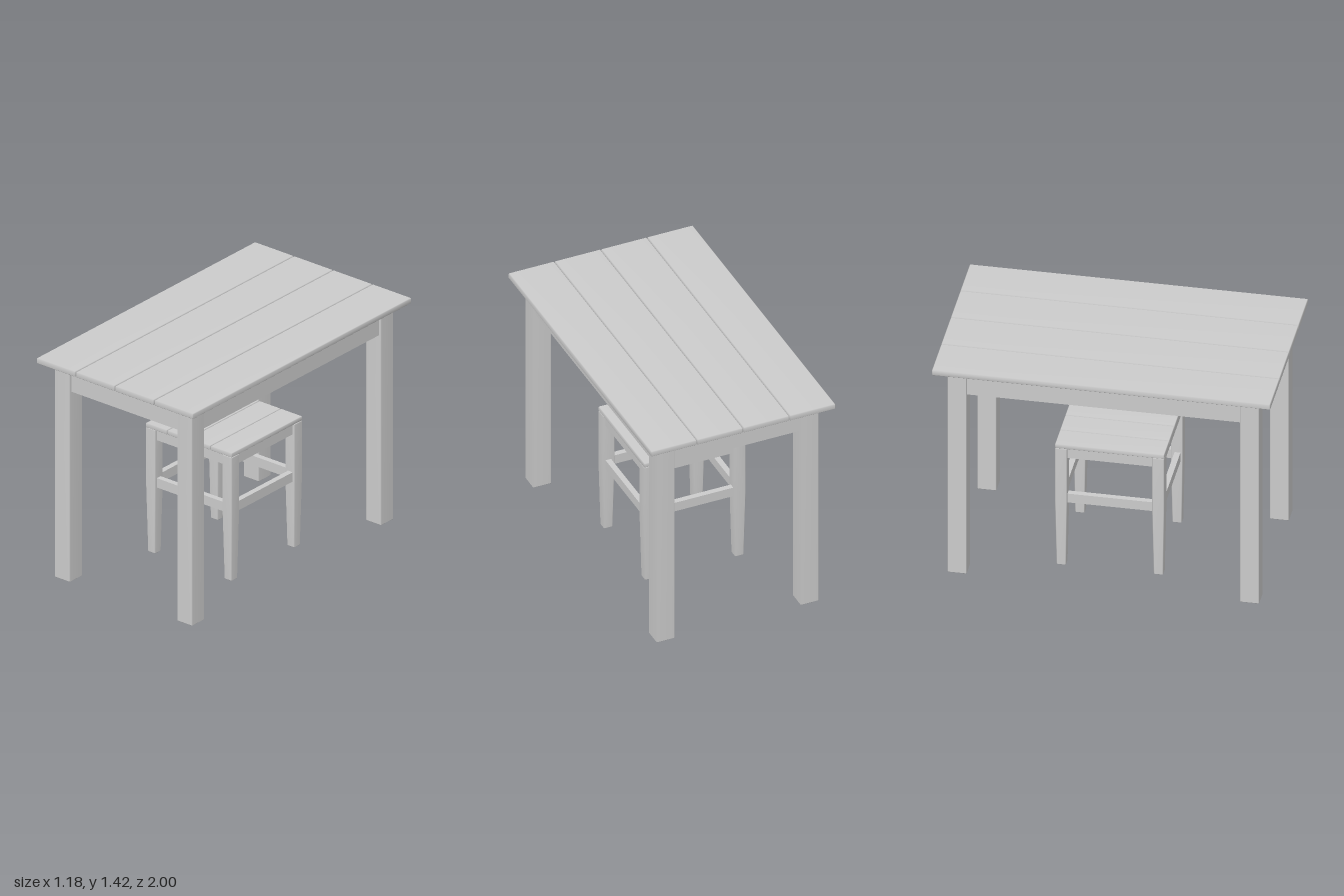
import * as THREE from 'three';
import { mergeVertices } from 'three/addons/utils/BufferGeometryUtils.js';
import { ConvexGeometry } from 'three/addons/geometries/ConvexGeometry.js';

const material = new THREE.MeshStandardMaterial({ color: 0xcccccc });

// Square-cut timber with small chamfers and softened normals.
// Levels are [y, halfWidth, halfDepth] from bottom to top.
function timber(levels, bevel) {
  const points = [];
  levels.forEach(([y, w, d], i) => {
    const inward = i === 0 ? 1 : i === levels.length - 1 ? -1 : 0;
    for (const sx of [-1, 1]) for (const sz of [-1, 1]) {
      const add = (x, py, z) => points.push(new THREE.Vector3(sx * x, py, sz * z));
      add(w, y + inward * bevel, d - bevel);
      add(w - bevel, y + inward * bevel, d);
      if (inward) add(w - bevel, y, d - bevel);
    }
  });
  const hull = new ConvexGeometry(points);
  hull.deleteAttribute('normal');
  const geometry = mergeVertices(hull, 1e-5);
  geometry.computeVertexNormals();
  return geometry;
}

function place(parent, name, geometry, x, y, z) {
  const mesh = new THREE.Mesh(geometry, material);
  mesh.name = name;
  mesh.position.set(x, y, z);
  parent.add(mesh);
}

// Four boards running front to back, with narrow gaps
function boards(parent, name, width, depth, y0, y1, gap, bevel) {
  const step = width / 4;
  const h = (y1 - y0) / 2;
  const geometry = timber([[-h, (step - gap) / 2, depth / 2], [h, (step - gap) / 2, depth / 2]], bevel);
  for (let i = 0; i < 4; i++) {
    place(parent, name, geometry, (i - 1.5) * step, (y0 + y1) / 2, 0);
  }
}

// One leg at each corner
function legs(parent, name, geometry, x, z) {
  for (const sx of [-1, 1]) for (const sz of [-1, 1]) place(parent, name, geometry, sx * x, 0, sz * z);
}

// Four rails joining the legs; x and z are the rail centre lines
function rails(parent, name, x, z, lengthX, lengthZ, y0, y1, thickness) {
  const y = (y0 + y1) / 2;
  const cross = new THREE.BoxGeometry(lengthX, y1 - y0, thickness);
  const side = new THREE.BoxGeometry(thickness, y1 - y0, lengthZ);
  for (const s of [-1, 1]) {
    place(parent, name, cross, 0, y, s * z);
    place(parent, name, side, s * x, y, 0);
  }
}

function createTable() {
  const table = new THREE.Group();
  table.name = 'table';
  boards(table, 'tableTopBoard', 1.18, 2, 1.385, 1.42, 0.004, 0.005);
  legs(table, 'tableLeg', timber([[0, 0.058, 0.057], [1.385, 0.058, 0.057]], 0.005), 0.459, 0.864);
  rails(table, 'tableApron', 0.482, 0.886, 0.82, 1.63, 1.225, 1.385, 0.04);
  return table;
}

function createStool() {
  const stool = new THREE.Group();
  stool.name = 'stool';
  boards(stool, 'seatBoard', 0.65, 0.646, 0.802, 0.83, 0.003, 0.004);
  // Legs are straight above the stretchers and taper below
  const leg = timber([[0, 0.028, 0.028], [0.44, 0.037, 0.036], [0.802, 0.037, 0.036]], 0.005);
  legs(stool, 'stoolLeg', leg, 0.287, 0.287);
  rails(stool, 'seatRail', 0.292, 0.292, 0.51, 0.51, 0.735, 0.802, 0.035);
  rails(stool, 'stretcher', 0.292, 0.292, 0.51, 0.51, 0.43, 0.49, 0.035);
  return stool;
}

export function createModel() {
  const model = new THREE.Group();
  model.name = 'tableAndStool';
  model.add(createTable(), createStool());
  return model;
}
